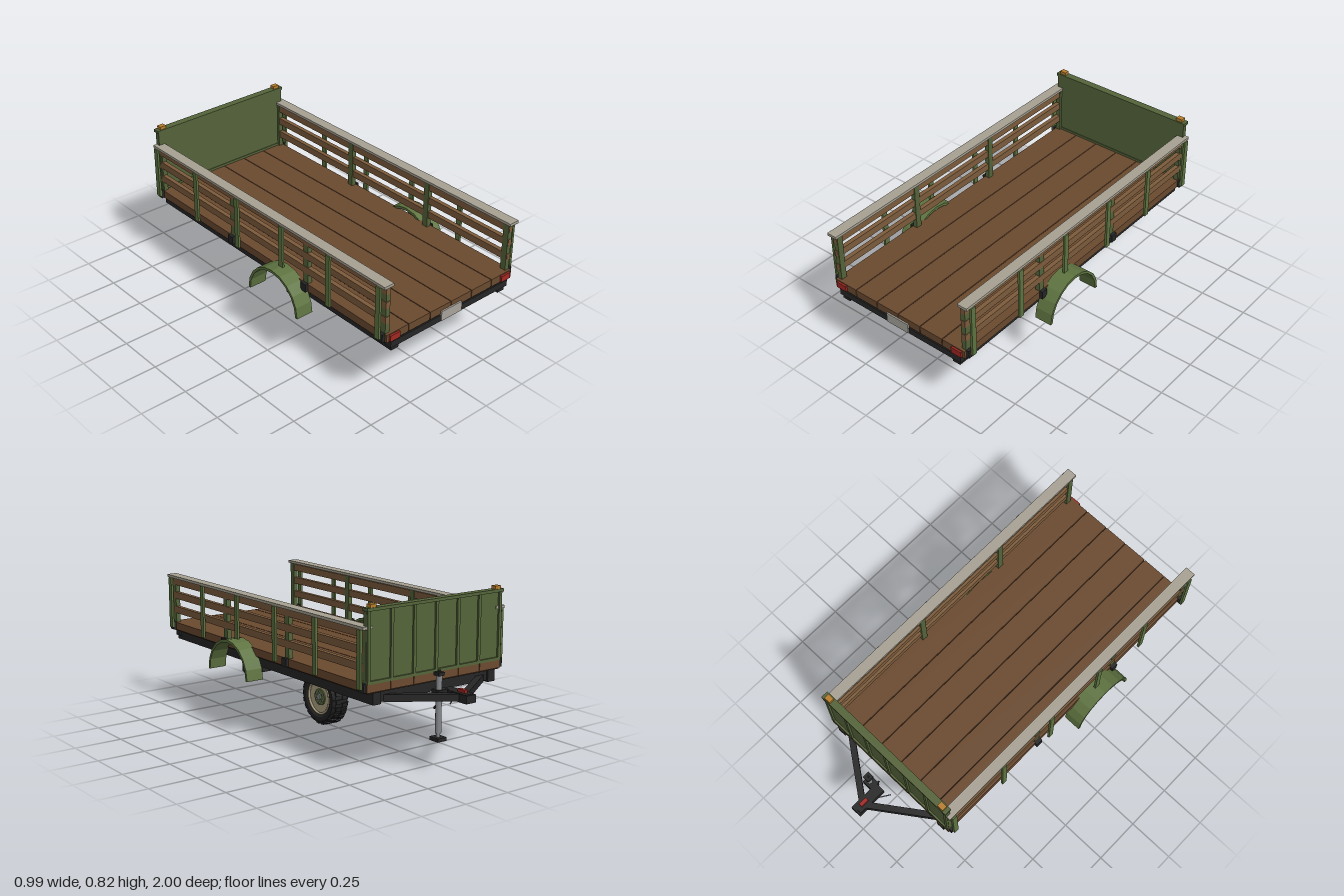
import * as THREE from 'three';

const mat = (color, extra = {}) => {
  const m = new THREE.MeshStandardMaterial({ color, ...extra });
  return m;
};

export function createModel() {
  const root = new THREE.Group();
  const green = mat(0x55643a), paleGreen = mat(0x5e7340), wood = mat(0x6b4a2f), slatWood = mat(0x7d5c3c);
  const black = mat(0x262626), underside = mat(0x33241a), cap = mat(0xa8a294), red = mat(0xa02822);
  const amber = mat(0xb87e2c), steel = mat(0x85888c), rimTan = mat(0xb3a685), plateGrey = mat(0xa9a59c);
  const tyreBlack = mat(0x232323, { flatShading: true });
  const fenderGreen = mat(0x5e7340, { flatShading: true });

  const add = (name, geo, m, parent = root) => {
    const mesh = new THREE.Mesh(geo, m);
    mesh.name = name;
    parent.add(mesh);
    return mesh;
  };
  // Box given by its min and max on each axis
  const box = (name, m, x0, x1, y0, y1, z0, z1, parent = root) => {
    const b = add(name, new THREE.BoxGeometry(Math.abs(x1 - x0), y1 - y0, z1 - z0), m, parent);
    b.position.set((x0 + x1) / 2, (y0 + y1) / 2, (z0 + z1) / 2);
    return b;
  };
  // Bar running between two points, square or round
  const bar = (name, m, a, b, w, h = w, round = false) => {
    const p = new THREE.Vector3(...a), q = new THREE.Vector3(...b), len = p.distanceTo(q);
    const geo = round ? new THREE.CylinderGeometry(w / 2, w / 2, len, 10).rotateX(Math.PI / 2)
      : new THREE.BoxGeometry(w, h, len);
    const mesh = add(name, geo, m);
    mesh.position.copy(p).add(q).multiplyScalar(0.5);
    mesh.lookAt(q);
    return mesh;
  };

  // Plank floor on a dark under-layer
  box('floorBase', underside, -0.405, 0.405, 0.41, 0.445, -0.755, 0.985);
  const planks = 6, pw = 0.82 / planks;
  for (let i = 0; i < planks; i++) {
    const x = -0.41 + i * pw;
    box('floorPlank', wood, x + (i ? 0.002 : 0), x + pw - (i < planks - 1 ? 0.002 : 0), 0.416, 0.457, -0.76, 0.99);
  }

  // Chassis
  for (const s of [-1, 1]) box('chassisRail', black, s * 0.33, s * 0.375, 0.355, 0.413, -0.76, 0.985);
  for (const z of [-0.73, -0.3, 0.1, 0.53])
    box('crossMember', black, -0.335, 0.335, 0.362, 0.411, z - 0.02, z + 0.02);
  box('rearBumper', black, -0.385, 0.385, 0.377, 0.41, 0.95, 0.992);

  // Axle hung below the rails
  box('axle', black, -0.375, 0.375, 0.292, 0.318, 0.265, 0.315);
  for (const s of [-1, 1]) {
    box('axleHanger', black, s * 0.303, s * 0.333, 0.295, 0.38, 0.25, 0.33);
    box('axleEnd', black, s * 0.345, s * 0.375, 0.297, 0.356, 0.25, 0.33);
  }

  // Slatted sides, fenders and lamps, mirrored
  const arch = new THREE.Shape();
  const segments = 10;
  for (let i = 0; i <= segments; i++) {
    const a = Math.PI * i / segments, r = 0.184;
    arch[i ? 'lineTo' : 'moveTo'](Math.cos(a) * r, Math.sin(a) * r);
  }
  for (let i = segments; i >= 0; i--) {
    const a = Math.PI * i / segments, r = 0.17;
    arch.lineTo(Math.cos(a) * r, Math.sin(a) * r);
  }
  arch.closePath();
  const fenderGeo = new THREE.ExtrudeGeometry(arch, { depth: 0.095, bevelEnabled: false })
    .translate(0, 0, -0.0475).rotateY(Math.PI / 2);

  for (const s of [-1, 1]) {
    const side = new THREE.Group();
    side.name = s > 0 ? 'leftSide' : 'rightSide';
    root.add(side);
    for (const y of [0.51, 0.59, 0.666])
      box('slat', slatWood, s * 0.386, s * 0.409, y, y + 0.037, -0.735, 0.978, side);
    for (const z of [-0.735, -0.125, 0.435, 0.96]) {
      box('innerPost', green, s * 0.382, s * 0.407, 0.45, 0.71, z - 0.016, z + 0.016, side);
      box('postSocket', black, s * 0.409, s * 0.426, 0.418, 0.46, z - 0.018, z + 0.018, side);
    }
    for (const z of [-0.73, -0.39, -0.055, 0.285, 0.62, 0.952])
      box('outerStake', paleGreen, s * 0.426, s * 0.438, 0.432, 0.708, z - 0.014, z + 0.014, side);
    box('capRail', cap, s * 0.376, s * 0.432, 0.708, 0.722, -0.757, 0.99, side);

    add('fender', fenderGeo, fenderGreen, side).position.set(s * 0.445, 0.303, 0.287);
    box('fenderBracket', black, s * 0.37, s * 0.402, 0.44, 0.454, 0.27, 0.305, side);

    box('tailLamp', red, s * 0.335, s * 0.395, 0.42, 0.452, 0.985, 1.0, side);
    box('markerLamp', amber, s * 0.361, s * 0.396, 0.804, 0.822, -0.763, -0.735, side);
  }
  box('numberPlate', plateGrey, -0.068, 0.066, 0.381, 0.433, 0.988, 0.998);

  // Solid headboard with ribs on its outer face
  box('headboard', green, -0.41, 0.41, 0.457, 0.793, -0.752, -0.733);
  box('headboardCap', green, -0.415, 0.415, 0.791, 0.806, -0.767, -0.728);
  box('headboardSill', green, -0.41, 0.41, 0.455, 0.47, -0.762, -0.729);
  for (let i = 0; i < 7; i++) {
    const x = -0.4 + i * 0.8 / 6;
    box('headboardRib', green, x - 0.008, x + 0.008, 0.465, 0.793, -0.762, -0.75);
  }

  // Drawbar and coupler
  for (const s of [-1, 1]) {
    bar('drawbar', black, [s * 0.3, 0.377, -0.74], [s * 0.01, 0.377, -0.945], 0.032, 0.034);
    bar('safetyChain', steel, [s * 0.025, 0.365, -0.87], [s * 0.045, 0.305, -0.81], 0.006, 0.006, true);
  }
  box('coupler', black, -0.027, 0.027, 0.362, 0.397, -0.99, -0.83);
  box('couplerHead', black, -0.029, 0.029, 0.356, 0.394, -1.0, -0.93);
  box('couplerLatch', red, -0.01, 0.01, 0.394, 0.412, -0.965, -0.92);

  // Jack stand
  const jx = 0.058, jz = -0.845;
  bar('jackTube', steel, [jx, 0.19, jz], [jx, 0.475, jz], 0.03, 0.03, true);
  bar('jackLeg', steel, [jx, 0.165, jz], [jx, 0.3, jz], 0.02, 0.02, true);
  box('jackFoot', black, jx - 0.027, jx + 0.027, 0.155, 0.172, jz - 0.03, jz + 0.03);
  box('jackHead', black, jx - 0.018, jx + 0.018, 0.465, 0.482, jz - 0.018, jz + 0.018);
  box('jackClamp', black, 0.02, jx + 0.024, 0.355, 0.4, jz - 0.025, jz + 0.025);
  bar('jackCrank', black, [jx, 0.478, jz], [jx, 0.492, jz], 0.01);
  bar('jackHandle', black, [jx - 0.01, 0.36, -0.86], [jx - 0.01, 0.298, -0.803], 0.008);

  // Spare wheel carried on the centre line, spinning about x
  const wheel = new THREE.Group();
  wheel.name = 'wheel';
  wheel.position.set(0, 0.15, 0.115);
  root.add(wheel);
  const lathe = (pts, n) => new THREE.LatheGeometry(pts.map(p => new THREE.Vector2(...p)), n).rotateZ(-Math.PI / 2);
  add('tyre', lathe([[0.09, -0.04], [0.105, -0.05], [0.128, -0.05], [0.14, -0.036], [0.143, 0],
    [0.14, 0.036], [0.128, 0.05], [0.105, 0.05], [0.09, 0.04], [0.09, -0.04]], 32), tyreBlack, wheel);
  const lugs = 22;
  for (let i = 0; i < lugs; i++) for (const s of [-1, 1]) {
    const lug = new THREE.Group();
    lug.rotation.x = (i + (s > 0 ? 0.5 : 0)) * 2 * Math.PI / lugs;
    wheel.add(lug);
    box('treadLug', tyreBlack, s * 0.003, s * 0.036, 0.135, 0.148, -0.011, 0.011, lug);
    const shoulder = box('shoulderLug', tyreBlack, s * 0.032, s * 0.05, 0.126, 0.139, -0.01, 0.01, lug);
    shoulder.rotation.z = -s * 0.75;
  }
  const disc = (name, m, r, x, h, n = 28) => {
    const d = add(name, new THREE.CylinderGeometry(r, r, h, n).rotateZ(Math.PI / 2), m, wheel);
    d.position.x = x;
    return d;
  };
  disc('rimDisc', rimTan, 0.091, 0, 0.064);
  for (const s of [-1, 1]) {
    const lip = add('rimLip', new THREE.TorusGeometry(0.088, 0.006, 8, 32).rotateY(Math.PI / 2), rimTan, wheel);
    lip.position.x = s * 0.04;
    disc('hubDisc', paleGreen, 0.044, s * 0.034, 0.008);
    disc('hubCap', steel, 0.016, s * 0.039, 0.012, 16);
    for (let i = 0; i < 6; i++) {
      const a = i * Math.PI / 3;
      const nut = disc('wheelNut', steel, 0.005, s * 0.039, 0.01, 6);
      nut.position.y = Math.cos(a) * 0.031;
      nut.position.z = Math.sin(a) * 0.031;
    }
  }
  // Mount holding the wheel to the chassis
  box('wheelMount', black, -0.035, 0.035, 0.29, 0.375, 0.1, 0.13);

  return root;
}
